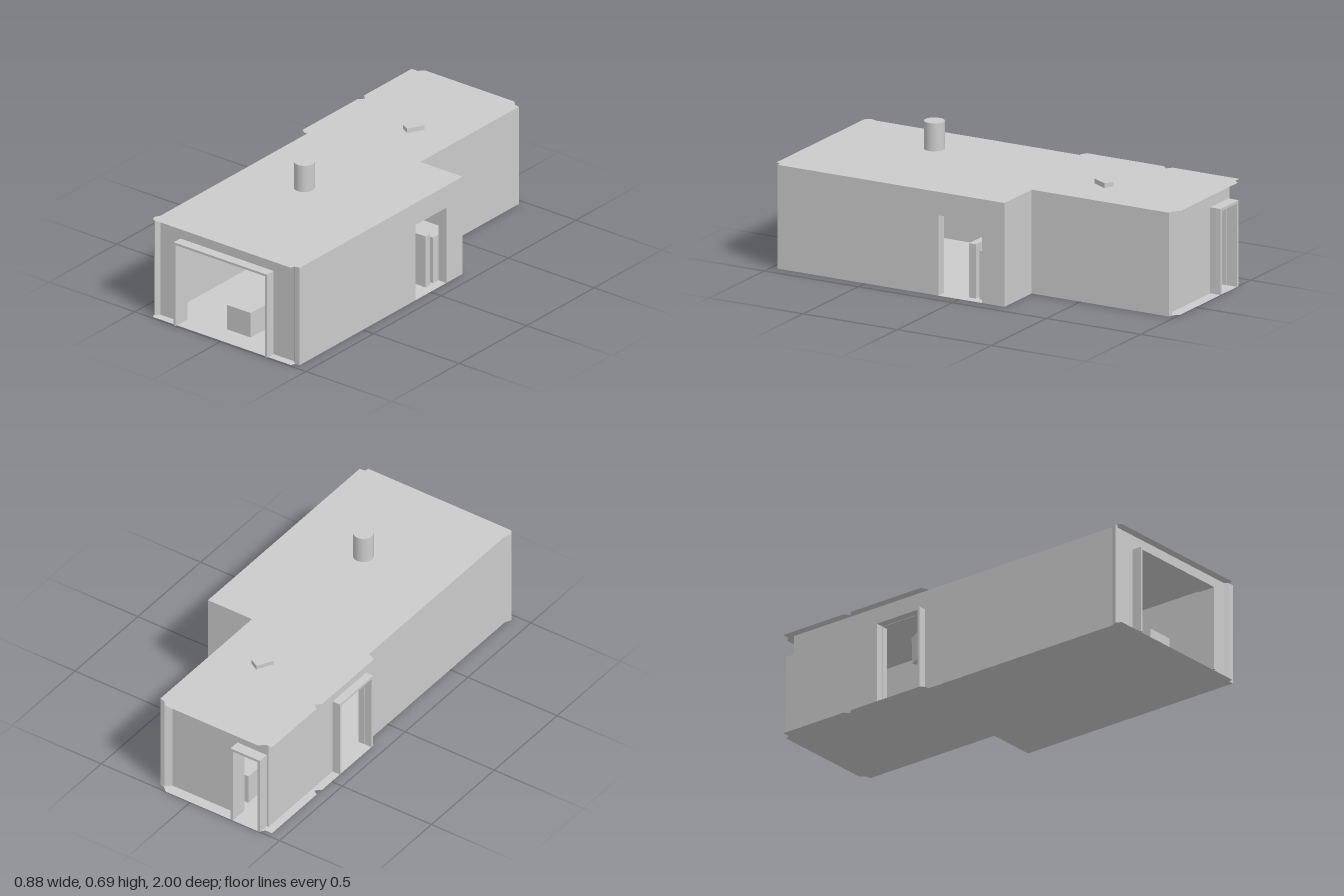
import * as THREE from 'three';

export function createModel() {
  const model = new THREE.Group();
  const material = new THREE.MeshStandardMaterial({ color: 0xcccccc, side: THREE.DoubleSide, flatShading: true });
  const smooth = new THREE.MeshStandardMaterial({ color: 0xcccccc });
  const H = 0.497;

  function add(name, geometry, parent = model, mat = material) {
    const mesh = new THREE.Mesh(geometry, mat);
    mesh.name = name;
    parent.add(mesh);
    return mesh;
  }
  // Box given by its limits on each axis
  function box(name, x0, x1, y0, y1, z0, z1, parent) {
    const mesh = add(name, new THREE.BoxGeometry(x1 - x0, y1 - y0, z1 - z0), parent);
    mesh.position.set((x0 + x1) / 2, (y0 + y1) / 2, (z0 + z1) / 2);
    return mesh;
  }
  // Shape whose points are [x, z] on the ground plane
  const plan = (points) => new THREE.Shape(points.map(([x, z]) => new THREE.Vector2(x, z)));

  // Floor and roof share one notched outline
  const outline = plan([
    [-0.39, 0.95], [-0.415, 0.965], [-0.4, 0.99], [0.405, 0.99], [0.41, 0.97], [0.437, 0.965],
    [0.437, -0.24], [0.19, -0.24], [0.19, -0.97], [0.165, -0.975], [0.14, -1], [-0.38, -1],
    [-0.405, -0.975], [-0.44, -0.975], [-0.44, -0.62], [-0.415, -0.6], [-0.44, -0.575],
    [-0.44, -0.165], [-0.415, -0.15], [-0.39, -0.15],
  ]);
  for (const [name, y] of [['floor', 0], ['roof', H]]) {
    add(name, new THREE.ShapeGeometry(outline).rotateX(Math.PI / 2)).position.y = y;
  }

  // Wall along x or z between a and b, its thickness from t0 to t1, with an optional doorway
  function wall(name, axis, a, b, t0, t1, door) {
    const group = new THREE.Group();
    group.name = name;
    model.add(group);
    const piece = (s, e, y0, y1, part) => axis === 'x'
      ? box(part, s, e, y0, y1, t0, t1, group)
      : box(part, t0, t1, y0, y1, s, e, group);
    if (!door) {
      piece(a, b, 0, H, 'wallPanel');
      return;
    }
    piece(a, door[0], 0, H, 'wallPanel');
    piece(door[1], b, 0, H, 'wallPanel');
    piece(door[0], door[1], door[2], H, 'wallAboveDoor');
  }
  wall('frontWall', 'x', -0.39, 0.39, 0.91, 0.95, [-0.262, 0.262, 0.415]);
  wall('leftWall', 'z', -0.24, 0.95, 0.39, 0.437, [-0.12, 0.11, 0.385]);
  wall('stepWall', 'x', 0.145, 0.39, -0.24, -0.195);
  wall('rearLeftWall', 'z', -0.945, -0.24, 0.145, 0.19);
  wall('backWall', 'x', -0.4, 0.145, -0.945, -0.905, [-0.375, -0.238, 0.4]);
  wall('rightWall', 'z', -0.905, 0.95, -0.4, -0.37, [-0.42, -0.185, 0.39]);

  // Chamfered strips at the outer corners
  const corners = {
    frontLeftCorner: [[0.39, 0.95], [0.41, 0.967], [0.437, 0.967], [0.437, 0.93], [0.39, 0.93]],
    frontRightCorner: [[-0.39, 0.95], [-0.405, 0.97], [-0.415, 0.965], [-0.4, 0.935], [-0.38, 0.93]],
    backLeftCorner: [[0.14, -0.945], [0.165, -0.97], [0.19, -0.97], [0.19, -0.93], [0.14, -0.93]],
  };
  for (const [name, points] of Object.entries(corners)) {
    const g = new THREE.ExtrudeGeometry(plan(points), { depth: H, bevelEnabled: false });
    add(name, g.rotateX(Math.PI / 2)).position.y = H;
  }

  // Projecting door frames: two jambs and a lintel
  function frame(name, axis, a, b, top, w, t0, t1) {
    const group = new THREE.Group();
    group.name = name;
    model.add(group);
    for (const [s, e, y0, y1, part] of [
      [a, a + w, 0, top, 'jamb'], [b - w, b, 0, top, 'jamb'], [a + w, b - w, top - w, top, 'lintel'],
    ]) {
      if (axis === 'x') box(part, s, e, y0, y1, t0, t1, group);
      else box(part, t0, t1, y0, y1, s, e, group);
    }
  }
  frame('frontDoorFrame', 'x', -0.272, 0.272, 0.425, 0.011, 0.94, 1);
  frame('backDoorFrame', 'x', -0.39, -0.225, 0.412, 0.013, -1, -0.92);
  frame('sideDoorFrame', 'z', -0.435, -0.17, 0.405, 0.013, -0.44, -0.37);

  // Furniture inside
  box('frontCrate', -0.055, 0.083, 0, 0.125, 0.745, 0.88);
  box('rightCabinet', -0.22, -0.12, 0, 0.153, -0.85, -0.65);
  box('middleCabinet', -0.073, 0.006, 0, 0.155, -0.53, -0.43);
  box('leftCabinet', 0.052, 0.145, 0, 0.154, -0.85, -0.65);
  box('cornerCounter', 0.2, 0.39, 0, 0.233, -0.195, -0.08);
  box('doorsideCabinet', 0.28, 0.39, 0, 0.26, -0.06, -0.025);
  for (const x of [-0.09, 0.03]) {
    add('stool', new THREE.CylinderGeometry(0.032, 0.032, 0.148, 24), model, smooth).position.set(x, 0.074, -0.6);
  }

  // Tilted block passing through the roof
  const vent = add('roofVent', new THREE.BoxGeometry(0.05, 0.152, 0.087));
  vent.position.set(-0.042, 0.443, -0.487);
  vent.rotation.set(0, -0.5, 0.03);

  // Cylinder hovering above the roof
  add('roofCylinder', new THREE.CylinderGeometry(0.048, 0.048, 0.134, 32), model, smooth).position.set(0.006, 0.619, 0.385);

  return model;
}
